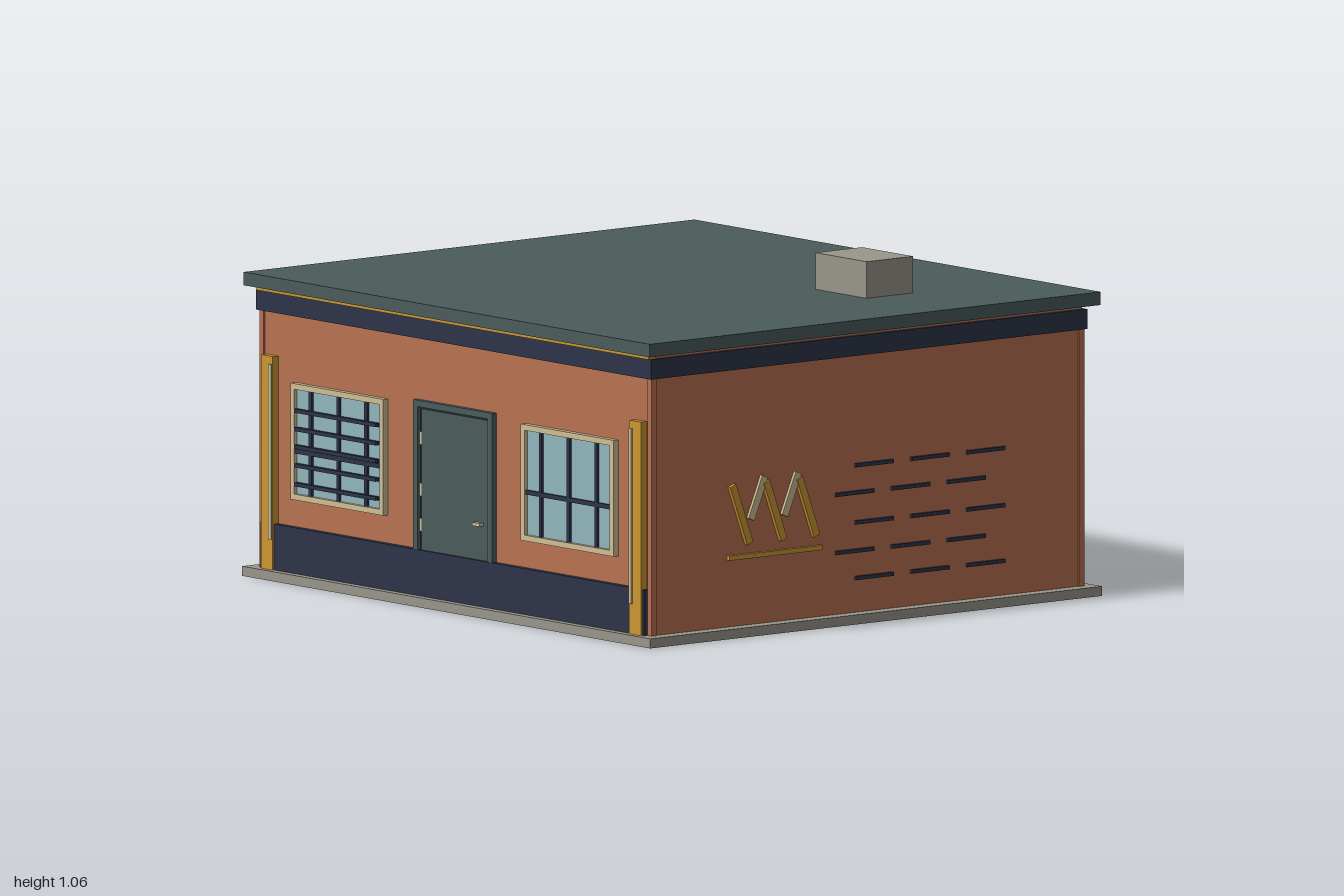
import * as THREE from 'three';

const mat = (name, color) => {
  const m = new THREE.MeshStandardMaterial({ color });
  m.name = name;
  return m;
};

export function createModel() {
  const brick = mat('terracotta', 0xb87152);
  const slate = mat('slate', 0x4b5c5b);
  const navy = mat('navy', 0x2d3448);
  const gold = mat('gold', 0xcb9632);
  const stone = mat('stone', 0x99968a);
  const glass = mat('glass', 0x90b6bd);
  const cream = mat('cream', 0xcfbd95);

  const model = new THREE.Group();
  model.name = 'building';

  // Box given by its extents along each axis
  const box = (name, material, [x0, x1], [y0, y1], [z0, z1], parent = model) => {
    const mesh = new THREE.Mesh(new THREE.BoxGeometry(x1 - x0, y1 - y0, z1 - z0), material);
    mesh.position.set((x0 + x1) / 2, (y0 + y1) / 2, (z0 + z1) / 2);
    mesh.name = name;
    parent.add(mesh);
    return mesh;
  };
  const group = (name) => {
    const g = new THREE.Group();
    g.name = name;
    model.add(g);
    return g;
  };

  // Shell: slab, walls, cornice and roof
  box('foundation', stone, [-1, 1], [0, 0.03], [-0.895, 0.895]);
  box('walls', brick, [-0.955, 0.955], [0.03, 0.905], [-0.852, 0.852]);
  for (const x of [-0.95, 0.95]) {
    for (const z of [-0.847, 0.847]) {
      box('cornerTrim', brick, [x - 0.01, x + 0.01], [0.03, 0.83], [z - 0.011, z + 0.011]);
    }
  }
  box('cornice', navy, [-0.967, 0.967], [0.83, 0.892], [-0.863, 0.866]);
  box('corniceLine', gold, [-0.96, 0.96], [0.892, 0.901], [0.84, 0.87]);
  box('roof', slate, [-0.995, 0.995], [0.905, 0.946], [-0.893, 0.893]);
  box('roofVent', stone, [0.4, 0.65], [0.946, 1.06], [-0.43, -0.245]);

  // Front plinth band and pilasters
  box('plinthBand', navy, [-0.94, 0.94], [0.03, 0.173], [0.84, 0.87]);
  for (const s of [-1, 1]) {
    const x = s * 0.902;
    box('pilaster', gold, [x - 0.029, x + 0.029], [0.03, 0.695], [0.84, 0.876]);
    const hx = s * 0.883;
    box('pilasterHighlight', cream, [hx - 0.007, hx + 0.007], [0.125, 0.67], [0.87, 0.881]);
  }

  // Door
  const door = group('door');
  box('doorLeaf', slate, [-0.162, 0.165], [0.03, 0.612], [0.84, 0.862], door);
  box('doorGap', navy, [-0.172, 0.172], [0.03, 0.62], [0.84, 0.857], door);
  for (const s of [-1, 1]) {
    box('doorJamb', slate, [s * 0.182 - 0.011, s * 0.182 + 0.011], [0.03, 0.638], [0.84, 0.869], door);
  }
  box('doorHead', slate, [-0.193, 0.193], [0.618, 0.638], [0.84, 0.869], door);
  box('doorHandle', cream, [0.105, 0.142], [0.28, 0.29], [0.86, 0.878], door);
  for (const y of [0.25, 0.36, 0.52]) {
    box('hinge', cream, [-0.171, -0.163], [y - 0.02, y + 0.02], [0.85, 0.861], door);
  }

  // Windows, the one at -x with extra security bars
  for (const s of [-1, 1]) {
    const win = group('window');
    const cx = s * 0.564;
    box('glassPane', glass, [cx - 0.21, cx + 0.21], [0.275, 0.608], [0.845, 0.86], win);
    for (const e of [-1, 1]) {
      const fx = cx + e * 0.218;
      box('frameSide', cream, [fx - 0.009, fx + 0.009], [0.26, 0.622], [0.845, 0.872], win);
      const fy = 0.441 + e * 0.172;
      box('frameRail', cream, [cx - 0.227, cx + 0.227], [fy - 0.009, fy + 0.009], [0.845, 0.872], win);
    }
    for (const dx of [-0.136, 0, 0.136]) {
      box('mullion', navy, [cx + dx - 0.007, cx + dx + 0.007], [0.278, 0.606], [0.855, 0.868], win);
    }
    box('transom', navy, [cx - 0.209, cx + 0.209], [0.404, 0.418], [0.855, 0.868], win);
    if (s < 0) {
      for (const y of [0.31, 0.369, 0.427, 0.482, 0.539]) {
        box('securityBar', navy, [cx - 0.199, cx + 0.199], [y - 0.006, y + 0.006], [0.866, 0.88], win);
      }
    }
  }

  // Side walls: slanted ornament slats and staggered brick dashes
  for (const s of [-1, 1]) {
    const side = group('sideDecoration');
    const xs = (depth) => (s > 0 ? [0.95, 0.95 + depth] : [-0.95 - depth, -0.95]);
    const slat = (name, material, depth, zTop, yTop, zLow, yLow) => {
      const half = Math.hypot(zTop - zLow, yTop - yLow) / 2;
      const m = box(name, material, xs(depth), [-half, half], [-0.0125, 0.0125], side);
      m.position.y = (yTop + yLow) / 2;
      m.position.z = (zTop + zLow) / 2;
      m.rotation.x = Math.atan2(zTop - zLow, yTop - yLow);
    };
    for (const z of [0.54, 0.406, 0.275]) slat('goldSlat', gold, 0.018, z, 0.47, z - 0.068, 0.284);
    for (const z of [0.411, 0.278]) slat('creamSlat', cream, 0.015, z, 0.487, z - -0.054, 0.358);
    box('ornamentLedge', gold, xs(0.018), [0.238, 0.253], [0.185, 0.555], side);
    [0.488, 0.403, 0.31, 0.222, 0.137].forEach((y, row) => {
      for (let i = 0; i < 3; i++) {
        const z = (row % 2 ? 0.127 : 0.05) - i * 0.221;
        box('brickDash', navy, xs(0.014), [y - 0.006, y + 0.006], [z - 0.15, z], side);
      }
    });
  }

  return model;
}
